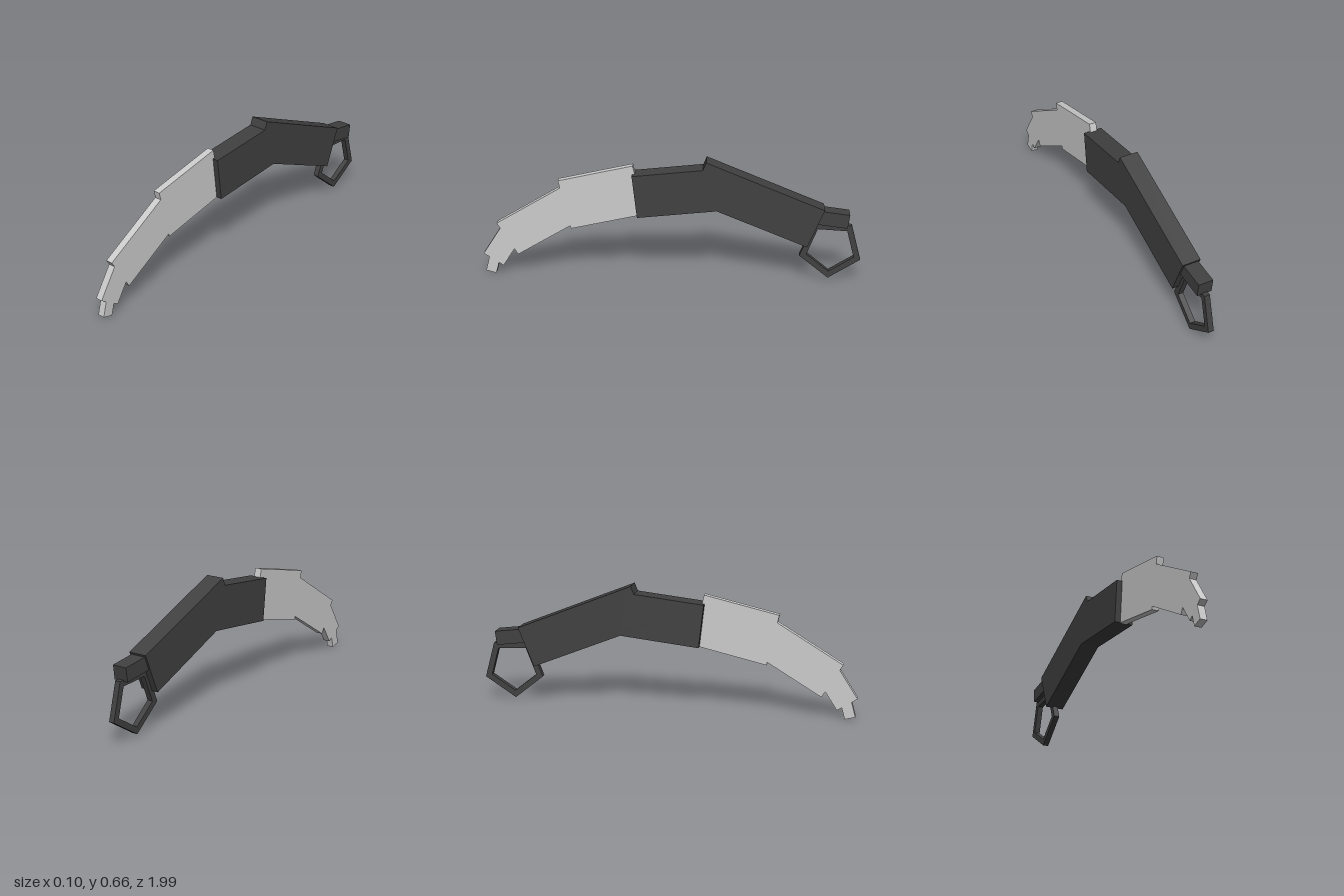
import * as THREE from 'three';

const steel = new THREE.MeshStandardMaterial({ color: 0xcccccc, flatShading: true });
const grip = new THREE.MeshStandardMaterial({ color: 0x404040, flatShading: true });

// Box hung below a top edge that runs from front to back, points given as [z, y]
function slab(name, front, back, height, width, material) {
  const dz = back[0] - front[0], dy = back[1] - front[1];
  const angle = Math.atan2(dy, -dz);
  const mesh = new THREE.Mesh(new THREE.BoxGeometry(width, height, Math.hypot(dz, dy)), material);
  mesh.name = name;
  mesh.rotation.x = angle;
  mesh.position.set(
    0,
    (front[1] + back[1]) / 2 - Math.cos(angle) * height / 2,
    (front[0] + back[0]) / 2 - Math.sin(angle) * height / 2
  );
  return mesh;
}

// Flat five-sided ring, extruded across x
function pentagonRing(cz, cy, outer, inner, width) {
  const corners = (r) => Array.from({ length: 5 }, (_, i) => {
    const a = -Math.PI / 2 + 0.05 + (i * Math.PI * 2) / 5;
    return new THREE.Vector2(Math.cos(a) * r, Math.sin(a) * r);
  });
  const shape = new THREE.Shape(corners(outer));
  shape.holes.push(new THREE.Path(corners(inner)));
  const geometry = new THREE.ExtrudeGeometry(shape, { depth: width, bevelEnabled: false });
  geometry.translate(0, 0, -width / 2);
  geometry.rotateY(-Math.PI / 2);
  const mesh = new THREE.Mesh(geometry, grip);
  mesh.name = 'pommelRing';
  mesh.position.set(0, cy, cz);
  return mesh;
}

export function createModel() {
  const model = new THREE.Group();
  model.name = 'curvedKnife';

  // Blade: four thin slabs stepping down to the tip
  const blade = new THREE.Group();
  blade.name = 'blade';
  blade.add(
    slab('bladeBase', [0.59, 0.54], [0.20, 0.63], 0.274, 0.038, steel),
    slab('bladeMiddle', [0.922, 0.294], [0.554, 0.516], 0.206, 0.038, steel),
    slab('bladeEnd', [1.0, 0.118], [0.881, 0.303], 0.123, 0.038, steel),
    slab('bladeTip', [0.992, 0.02], [0.966, 0.117], 0.056, 0.038, steel)
  );

  // Handle: two thick slabs, an end block and the ring
  const handle = new THREE.Group();
  handle.name = 'handle';
  handle.add(
    slab('handleFront', [0.203, 0.583], [-0.207, 0.629], 0.23, 0.1, grip),
    slab('handleBack', [-0.18, 0.666], [-0.794, 0.417], 0.224, 0.1, grip),
    slab('endBlock', [-0.75, 0.412], [-0.925, 0.39], 0.075, 0.08, grip),
    pentagonRing(-0.835, 0.19, 0.168, 0.13, 0.03)
  );

  model.add(blade, handle);
  return model;
}
